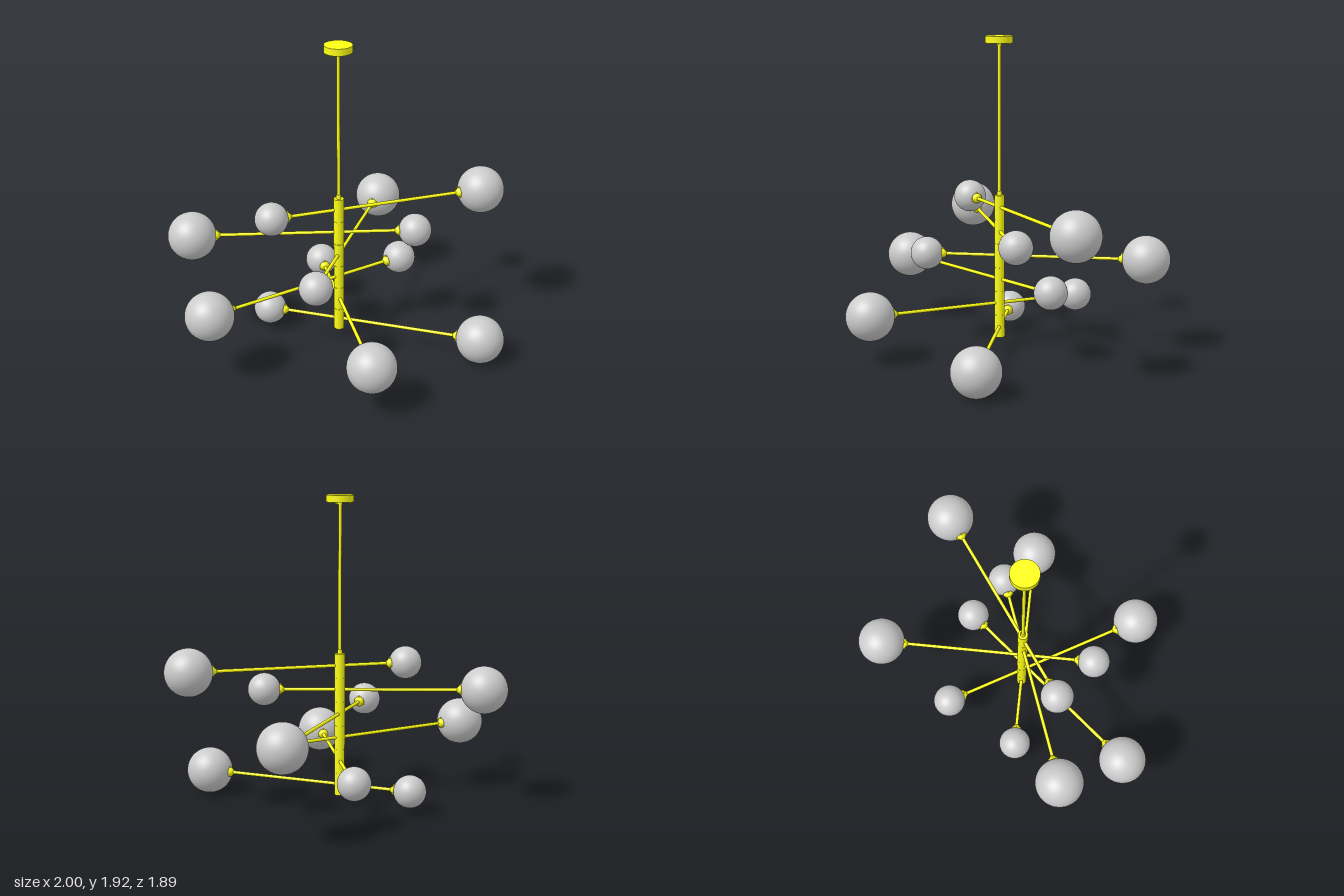
import * as THREE from 'three';

const AXIS_X = -0.033, AXIS_Z = 0.083;
const BIG = 0.145, SMALL = 0.1;
const STEP = 0.149, FIRST = 0.147;

// one entry per tier, bottom to top: heading in degrees (from +x towards +z),
// reach to the big globe, reach to the small globe
const TIERS = [
  [0, 0.888, 0.453],
  [60, 0.82, 0.51],
  [130, 0.888, 0.449],
  [270, 0.888, 0.449],
  [160, 0.877, 0.46],
  [-35, 0.92, 0.415],
];

export function createModel() {
  const metal = new THREE.MeshStandardMaterial({ color: 0xffff14 });
  const glass = new THREE.MeshStandardMaterial({ color: 0xcccccc });
  const model = new THREE.Group();
  const lamp = new THREE.Group();
  lamp.name = 'chandelier';
  lamp.position.set(AXIS_X, 0, AXIS_Z);
  model.add(lamp);

  const add = (parent, name, geometry, material, x = 0, y = 0, z = 0) => {
    const mesh = new THREE.Mesh(geometry, material);
    mesh.name = name;
    mesh.position.set(x, y, z);
    parent.add(mesh);
    return mesh;
  };
  const rod = (r, from, to, sides = 24) =>
    new THREE.CylinderGeometry(r, r, to - from, sides).translate(0, (from + to) / 2, 0);

  // ceiling canopy with its collar and small screws
  add(lamp, 'canopy', rod(0.083, 1.878, 1.92, 48), metal);
  add(lamp, 'canopyCollar', rod(0.015, 1.862, 1.878), metal);
  for (let i = 0; i < 4; i++) {
    const a = i * Math.PI / 2;
    add(lamp, 'canopyScrew', rod(0.006, 1.87, 1.879, 10), metal, 0.064 * Math.cos(a), 0, 0.064 * Math.sin(a));
  }

  // hanging stem and the neck that joins it to the column
  add(lamp, 'stem', rod(0.0105, 0.97, 1.87), metal);
  const neck = [[0, 0.99], [0.011, 0.99], [0.015, 0.984], [0.015, 0.964]]
    .reverse().map(([r, y]) => new THREE.Vector2(r, y));
  add(lamp, 'neck', new THREE.LatheGeometry(neck, 24), metal);

  // column: one swivelling segment per tier around a slimmer core
  add(lamp, 'columnCore', rod(0.029, 0.083, 0.96), metal);
  TIERS.forEach((_, i) => {
    const mid = FIRST + i * STEP;
    const from = i === 0 ? 0.08 : mid - STEP / 2 + 0.001;
    const to = i === TIERS.length - 1 ? 0.965 : mid + STEP / 2 - 0.001;
    add(lamp, 'columnSegment', rod(0.031, from, to, 32), metal);
  });

  // socket cup opening towards +x, its rim resting on the globe
  const cupGeometry = new THREE.LatheGeometry(
    [[0, -0.022], [0.014, -0.022], [0.02, -0.012], [0.031, -0.004], [0.031, 0.01], [0, 0.01]]
      .map(([r, t]) => new THREE.Vector2(r, t)), 24).rotateZ(-Math.PI / 2);
  const knobGeometry = new THREE.SphereGeometry(0.006, 10, 8);

  // arm end pointing along +x: socket, thumb screws and globe
  const addEnd = (parent, reach, radius, label) => {
    const end = new THREE.Group();
    end.name = label + 'Light';
    parent.add(end);
    const rim = reach - radius;
    add(end, 'socket', cupGeometry, metal, rim);
    for (let k = 0; k < 3; k++) {
      const a = k * Math.PI * 2 / 3;
      add(end, 'socketScrew', knobGeometry, metal, rim, 0.032 * Math.cos(a), 0.032 * Math.sin(a));
    }
    add(end, label + 'Globe', new THREE.SphereGeometry(radius, 48, 32), glass, reach);
    return end;
  };

  // tiers of arms
  TIERS.forEach(([degrees, bigReach, smallReach], i) => {
    const tier = new THREE.Group();
    tier.name = 'tier' + (i + 1);
    tier.position.y = FIRST + i * STEP;
    tier.rotation.y = -THREE.MathUtils.degToRad(degrees);
    lamp.add(tier);
    const arm = rod(0.0105, -(smallReach - SMALL), bigReach - BIG, 20).rotateZ(-Math.PI / 2);
    add(tier, 'arm', arm, metal);
    addEnd(tier, bigReach, BIG, 'big');
    addEnd(tier, smallReach, SMALL, 'small').rotation.y = Math.PI;
  });

  return model;
}
